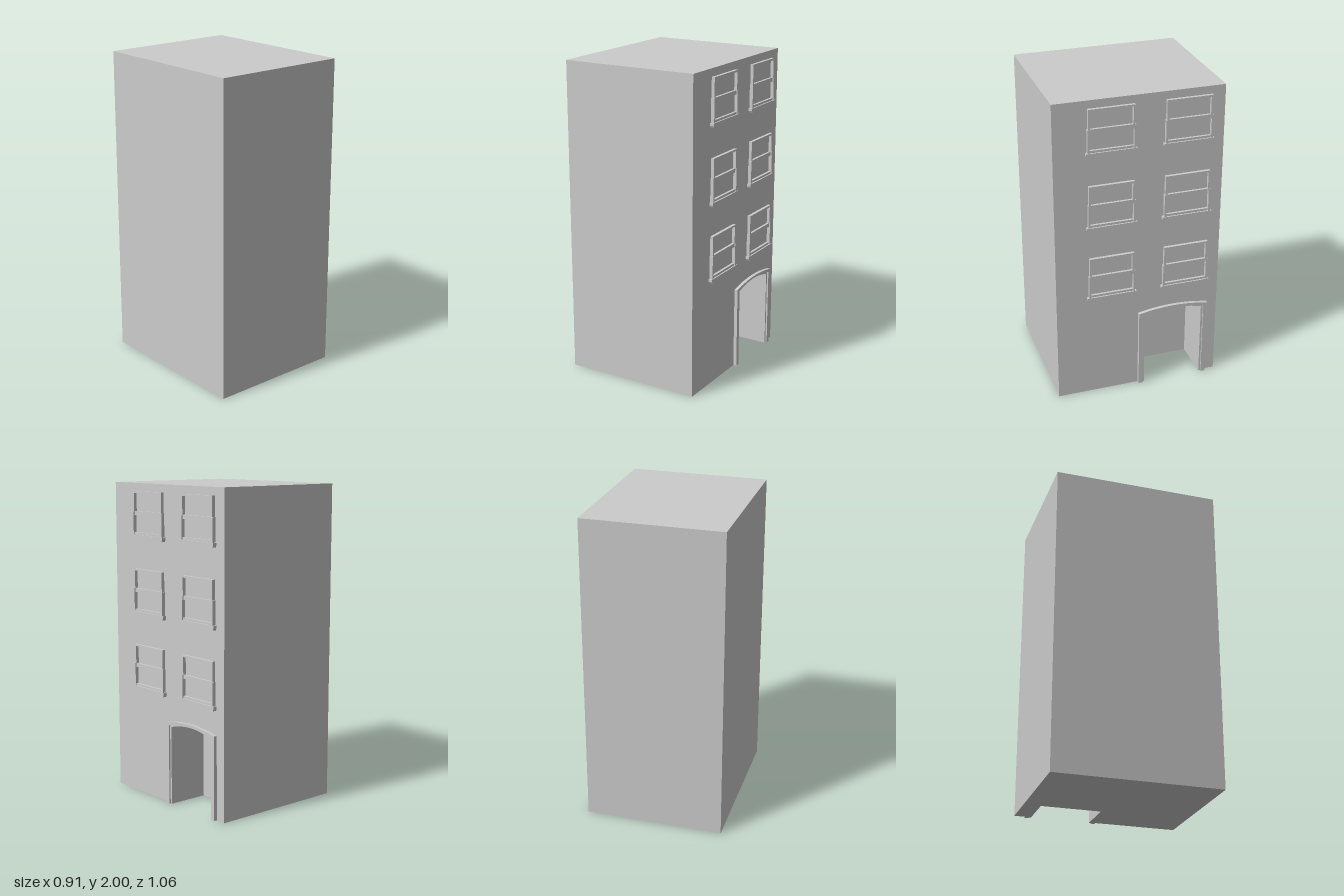
import * as THREE from 'three';

const material = new THREE.MeshStandardMaterial({ color: 0xcccccc, flatShading: true });
const WALL = 0.43;   // x of the facade plane
const INNER = 0.18;  // x of the recess back wall

function add(parent, geometry, name) {
  const mesh = new THREE.Mesh(geometry, material);
  mesh.name = name;
  parent.add(mesh);
  return mesh;
}

// Box given by its limits on each axis
function block(parent, name, x0, x1, y0, y1, z0, z1) {
  const mesh = add(parent, new THREE.BoxGeometry(x1 - x0, y1 - y0, z1 - z0), name);
  mesh.position.set((x0 + x1) / 2, (y0 + y1) / 2, (z0 + z1) / 2);
  return mesh;
}

// Extrude a facade drawing (u = -z, v = y) outward along +x from x0
function facade(parent, name, shape, x0, depth) {
  const g = new THREE.ExtrudeGeometry(shape, { depth, bevelEnabled: false, curveSegments: 12 });
  g.rotateY(Math.PI / 2).translate(x0, 0, 0);
  return add(parent, g, name);
}

// Band between two shallow arches: [uLeft, uRight, springing height, apex height]
function archBand([a, b, s, t], [c, d, p, q]) {
  const shape = new THREE.Shape();
  shape.moveTo(a, 0);
  shape.lineTo(a, s);
  shape.quadraticCurveTo((a + b) / 2, 2 * t - s, b, s);
  shape.lineTo(b, 0);
  shape.lineTo(d, 0);
  shape.lineTo(d, p);
  shape.quadraticCurveTo((c + d) / 2, 2 * q - p, c, p);
  shape.lineTo(c, 0);
  shape.closePath();
  return shape;
}

// Sash window with the sill underside at y and centred on z
function makeWindow(y, z) {
  const win = new THREE.Group();
  win.name = 'window';
  const w = 0.012;
  // upper sash, slightly narrower than the lower one
  block(win, 'topRail', WALL, 0.45, 0.286, 0.298, -0.143, 0.143);
  for (const s of [-1, 1]) {
    const upper = s * (0.143 - w / 2), lower = s * (0.148 - w / 2);
    block(win, 'upperStile', WALL, 0.45, 0.15, 0.286, upper - w / 2, upper + w / 2);
    block(win, 'lowerStile', WALL, 0.452, 0.028, 0.175, lower - w / 2, lower + w / 2);
  }
  block(win, 'meetingRail', WALL, 0.446, 0.15, 0.175, -0.14, 0.14);
  block(win, 'bottomRail', WALL, 0.446, 0.026, 0.042, -0.14, 0.14);
  // sill with a sloping underside
  const sill = new THREE.Shape([[-0.152, 0], [0.152, 0], [0.158, 0.012], [0.158, 0.028], [-0.158, 0.028], [-0.158, 0.012]]
    .map(([u, v]) => new THREE.Vector2(u, v)));
  facade(win, 'sill', sill, WALL, 0.025);
  win.position.set(0, y, z);
  return win;
}

export function createModel() {
  const model = new THREE.Group();
  model.name = 'townhouse';

  // Solid rear volume and the front layer with the arched entrance cut through it
  block(model, 'rearVolume', -0.455, INNER, 0, 2, -0.53, 0.53);
  const front = new THREE.Shape();
  front.moveTo(-0.53, 0);
  front.lineTo(0.04, 0);
  front.lineTo(0.04, 0.5);
  front.quadraticCurveTo(0.231, 0.56, 0.422, 0.5);
  front.lineTo(0.422, 0);
  front.lineTo(0.53, 0);
  front.lineTo(0.53, 2);
  front.lineTo(-0.53, 2);
  front.closePath();
  facade(model, 'entranceWall', front, INNER, WALL - INNER);

  // Stepped trim around the entrance
  const door = new THREE.Group();
  door.name = 'entranceTrim';
  facade(door, 'outerMoulding', archBand([0, 0.462, 0.527, 0.552], [0.028, 0.434, 0.512, 0.541]), WALL, 0.022);
  facade(door, 'innerMoulding', archBand([0.028, 0.434, 0.512, 0.541], [0.04, 0.422, 0.5, 0.53]), WALL, 0.012);
  model.add(door);

  // Three storeys of paired windows
  for (let floor = 0; floor < 3; floor++) {
    for (const z of [0.177, -0.303]) model.add(makeWindow(0.68 + floor * 0.486, z));
  }
  return model;
}
